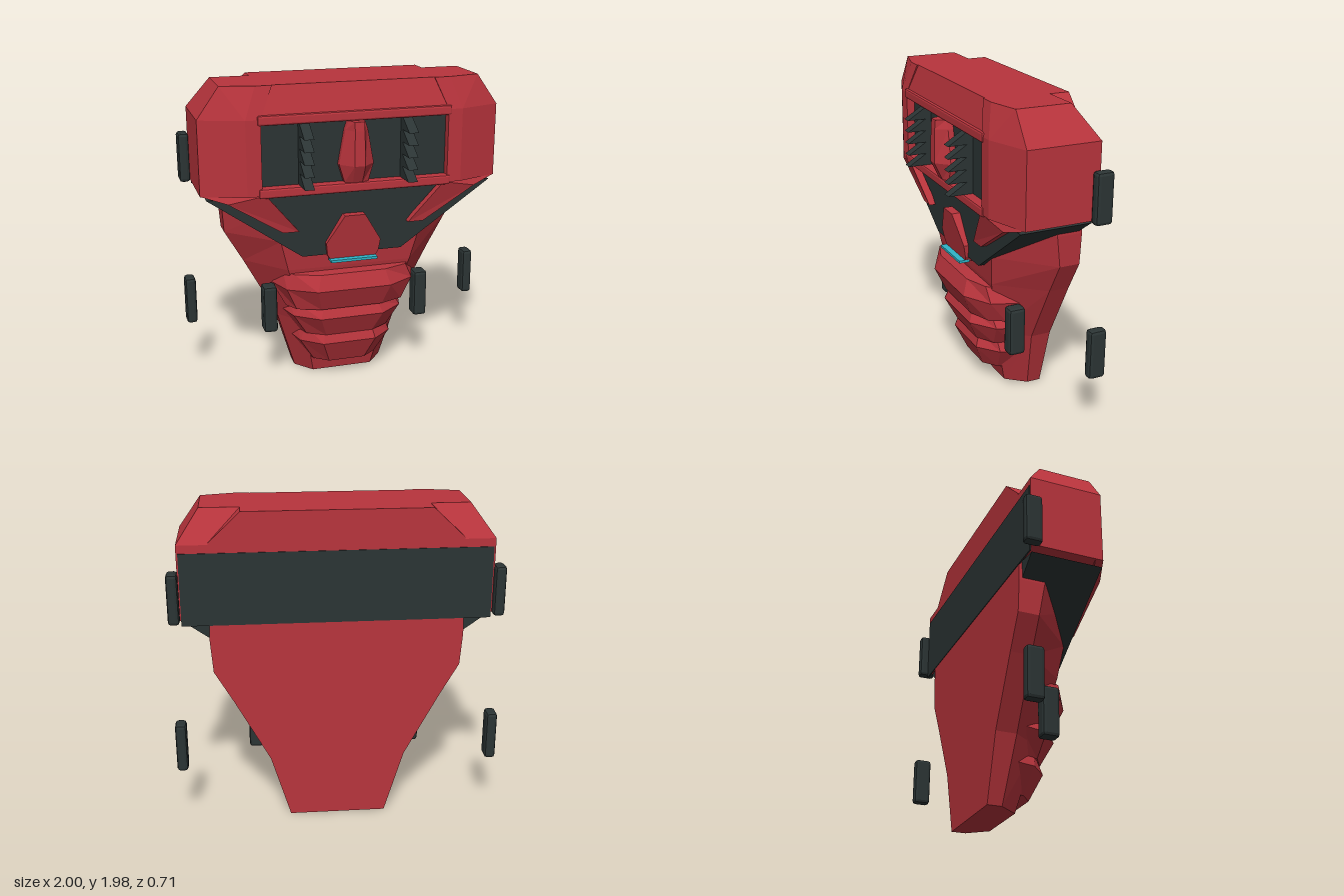
import * as THREE from 'three';
import { RoundedBoxGeometry } from 'three/addons/geometries/RoundedBoxGeometry.js';

const paint = (name, color) => {
  const m = new THREE.MeshStandardMaterial({ color });
  m.name = name;
  return m;
};

// Closed faceted solid through matching loops of [x, y, z]; caps fan from the first point.
function loft(loops) {
  const tris = [];
  const n = loops[0].length;
  for (let r = 0; r < loops.length - 1; r++) {
    for (let i = 0; i < n; i++) {
      const j = (i + 1) % n;
      const a = loops[r][i], b = loops[r][j], c = loops[r + 1][j], d = loops[r + 1][i];
      tris.push([a, b, c], [a, c, d]);
    }
  }
  const last = loops[loops.length - 1];
  for (let i = 1; i < n - 1; i++) {
    tris.push([loops[0][0], loops[0][i + 1], loops[0][i]], [last[0], last[i], last[i + 1]]);
  }
  // Turn every face outward, whichever way the loops run
  let volume = 0;
  for (const [a, b, c] of tris) {
    volume += a[0] * (b[1] * c[2] - b[2] * c[1]) + a[1] * (b[2] * c[0] - b[0] * c[2]) + a[2] * (b[0] * c[1] - b[1] * c[0]);
  }
  if (volume < 0) tris.forEach((t) => t.reverse());
  const g = new THREE.BufferGeometry();
  g.setAttribute('position', new THREE.Float32BufferAttribute(tris.flat(2), 3));
  g.computeVertexNormals();
  return g;
}

// Front outline pushed straight back to a flat rear at zBack, or by a fixed depth
const toRear = (pts, zBack) => loft([pts, pts.map(([x, y]) => [x, y, zBack])]);
const thick = (pts, depth) => loft([pts, pts.map(([x, y, z]) => [x, y, z - depth])]);

export function createModel() {
  const group = new THREE.Group();
  group.name = 'armouredTorso';
  const red = paint('armourRed', 0xb8343c);
  const dark = paint('darkMetal', 0x2b3434);
  const cyan = paint('glowCyan', 0x2fb4c8);
  red.flatShading = true;
  dark.flatShading = true;

  const add = (name, geometry, material, x = 0, y = 0, z = 0) => {
    const mesh = new THREE.Mesh(geometry, material);
    mesh.name = name;
    mesh.position.set(x, y, z);
    group.add(mesh);
  };

  // Tapered body: y, half width, front half width, corner z, front z
  const body = [
    [0, 0.3, 0.2, -0.21, -0.09],
    [0.4, 0.42, 0.28, -0.17, 0.01],
    [0.8, 0.635, 0.4, -0.17, 0.1],
    [1.0, 0.75, 0.45, -0.17, 0.125],
    [1.2, 0.765, 0.5, -0.14, 0.13],
    [1.8, 0.75, 0.5, -0.14, 0.13],
    [1.98, 0.56, 0.45, -0.14, 0.13],
  ];
  add('body', loft(body.map(([y, w, f, zc, zf]) => [
    [-w, y, -0.3], [-w, y, zc], [-f, y, zf], [f, y, zf], [w, y, zc], [w, y, -0.3],
  ])), red);

  // Chest top between the shoulders
  add('chestTop', loft([[1.8, 0.59, 0.245], [1.98, 0.51, 0.195]].map(([y, w, z]) => [
    [-w, y, z], [w, y, z], [w, y, -0.2], [-w, y, -0.2],
  ])), red);

  // Chest window, its rails and the dark back panel
  add('chestWindow', new THREE.BoxGeometry(1.2, 0.48, 0.45), dark, 0, 1.565, -0.025);
  add('backPanel', new THREE.BoxGeometry(1.85, 0.44, 0.008), dark, 0, 1.52, -0.3);
  for (const y of [1.35, 1.785]) {
    add('windowRail', new RoundedBoxGeometry(1.2, 0.06, 0.08, 1, 0.012), red, 0, y, 0.22);
  }

  // Ridge in the middle of the window: y, half width, front half width, front z
  const ridge = [[1.38, 0.075, 0.03, 0.26], [1.49, 0.108, 0.033, 0.312], [1.7, 0.07, 0.03, 0.305], [1.755, 0.05, 0.03, 0.3]];
  add('chestRidge', loft(ridge.map(([y, w, f, z]) => [
    [-w, y, 0.19], [-w, y, 0.235], [-f, y, z], [f, y, z], [w, y, 0.235], [w, y, 0.19],
  ])), red);

  // Dark V under the chest, running back under the shoulders
  add('underChest', toRear([
    [-0.9, 1.31, 0.165], [-0.32, 0.9, 0.15], [0.32, 0.9, 0.15],
    [0.9, 1.31, 0.165], [0.58, 1.345, 0.23], [-0.58, 1.345, 0.23],
  ], -0.28), dark);

  // Crest plate and glowing bar below it
  const crest = [[0.065, 1.16], [0.175, 0.98], [0.165, 0.9], [0.14, 0.86]];
  const crestZ = (y) => 0.168 + 0.182 * (y - 0.9);
  add('crest', thick([
    ...crest.map(([x, y]) => [x, y, crestZ(y)]),
    ...crest.slice().reverse().map(([x, y]) => [-x, y, crestZ(y)]),
  ], 0.07), red);
  add('lightBar', new THREE.BoxGeometry(0.3, 0.016, 0.07), cyan, 0, 0.866, 0.168);

  // Belly bands, each three levels of: y, half width, front z, side z
  const bands = [
    [[0.775, 0.42, 0.18, 0.03], [0.675, 0.475, 0.215, -0.06], [0.53, 0.4, 0.15, 0.0]],
    [[0.535, 0.36, 0.13, -0.07], [0.465, 0.41, 0.16, -0.145], [0.325, 0.31, 0.09, -0.09]],
    [[0.36, 0.305, 0.07, -0.11], [0.265, 0.35, 0.1, -0.19], [0.11, 0.24, 0.03, -0.15]],
  ];
  for (const band of bands) {
    add('bellyBand', loft(band.map(([y, w, zf, zs]) => [
      [-w, y, zs], [-w * 0.87, y, zs + (zf - zs) * 0.62], [-w * 0.5, y, zf],
      [w * 0.5, y, zf], [w * 0.87, y, zs + (zf - zs) * 0.62], [w, y, zs],
    ])), red);
  }

  // Parts repeated left and right
  for (const s of [1, -1]) {
    const side = s > 0 ? 'left' : 'right';

    // Shoulder block: y, inner x, front edge x, outer x, front z, rear z
    const shoulder = [
      [1.335, 0.58, 0.67, 0.935, 0.25, -0.3],
      [1.79, 0.58, 0.67, 0.935, 0.25, -0.3],
      [1.98, 0.5, 0.6, 0.8, 0.205, -0.18],
    ];
    add(side + 'Shoulder', loft(shoulder.map(([y, xi, xm, xo, zf, zb]) => [
      [s * xi, y, zf], [s * xm, y, zf], [s * xo, y, 0.155], [s * xo, y, zb], [s * xi, y, zb],
    ])), red);

    // Pointed guard hanging from the shoulder
    add(side + 'Guard', thick([
      [0.78, 1.29, 0.212], [0.935, 1.337, 0.156], [0.56, 1.337, 0.25], [0.35, 1.08, 0.198], [0.45, 1.08, 0.195],
    ].map(([x, y, z]) => [s * x, y, z]), 0.05), red);

    // Column of spikes in the window
    for (let i = 0; i < 5; i++) {
      const y = 1.68 - i * 0.075;
      add(side + 'Spike', loft([0.29, 0.35].map((x) => [
        [s * x, y + 0.09, 0.19], [s * x, y, 0.355], [s * x, y, 0.19],
      ].map(([px, py, pz], k) => [px, k === 0 ? py + 0.015 : py, pz]))), dark);
    }

    // Floating pods: x, y, z, width
    for (const [x, y, z, w] of [[0.966, 1.475, -0.302, 0.068], [0.966, 0.52, -0.302, 0.068], [0.505, 0.52, -0.008, 0.09]]) {
      add(side + 'Pod', new RoundedBoxGeometry(w, 0.31, 0.108, 1, 0.02), dark, s * x, y, z);
    }
  }
  return group;
}
